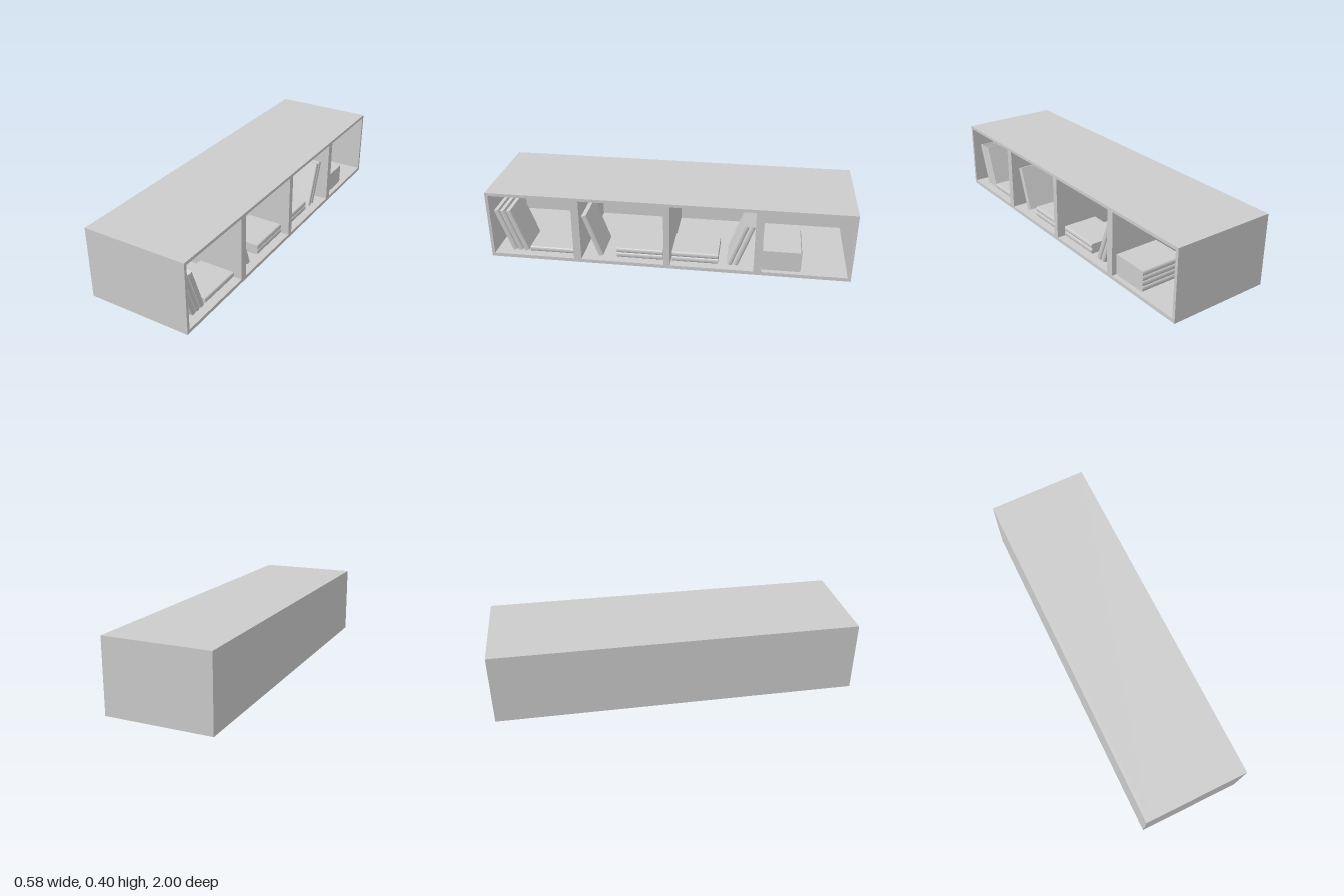
import * as THREE from 'three';

const material = new THREE.MeshStandardMaterial({ color: 0xcccccc });
const WIDTH = 0.577, HEIGHT = 0.397, FLOOR = 0.02, BACK = 0.016;
const BOOK = { depth: 0.21, thick: 0.0293, length: 0.26, bulge: 0.008 };

// Closed rectangle from two corners
function rect(path, x0, y0, x1, y1) {
  path.moveTo(x0, y0);
  path.lineTo(x1, y0);
  path.lineTo(x1, y1);
  path.lineTo(x0, y1);
  path.closePath();
  return path;
}

// Book lying flat: rounded spine towards +x, length along z, centred
function bookGeometry() {
  const { depth, thick, length, bulge } = BOOK;
  const d = depth / 2, t = thick / 2;
  const s = new THREE.Shape();
  s.moveTo(-d, -t);
  s.lineTo(d - bulge, -t);
  s.absellipse(d - bulge, 0, bulge, t, -Math.PI / 2, Math.PI / 2, false);
  s.lineTo(-d, t);
  s.closePath();
  const g = new THREE.ExtrudeGeometry(s, { depth: length, bevelEnabled: false, curveSegments: 6 });
  return g.translate(0, 0, -length / 2);
}

export function createModel() {
  const model = new THREE.Group();
  model.name = 'bookshelf';

  const add = (name, geometry, x = 0, y = 0, z = 0) => {
    const mesh = new THREE.Mesh(geometry, material);
    mesh.name = name;
    mesh.position.set(x, y, z);
    model.add(mesh);
    return mesh;
  };

  // Case with four compartments, open towards +x
  const face = rect(new THREE.Shape(), -1, 0, 1, HEIGHT);
  for (const [a, b] of [[-0.983, -0.523], [-0.48, -0.017], [0.017, 0.48], [0.523, 0.983]]) {
    face.holes.push(rect(new THREE.Path(), a, FLOOR, b, HEIGHT - FLOOR + 0.003));
  }
  const frame = new THREE.ExtrudeGeometry(face, { depth: WIDTH - BACK, bevelEnabled: false });
  frame.rotateY(Math.PI / 2);
  add('caseFrame', frame, -WIDTH / 2 + BACK);
  add('backPanel', new THREE.BoxGeometry(BACK, HEIGHT, 2), -WIDTH / 2 + BACK / 2, HEIGHT / 2, 0);

  const book = bookGeometry();
  const bookX = 0.245 - BOOK.depth / 2;

  // Flat stacks: centre z and number of books
  for (const [z, count] of [[0.657, 1], [0.157, 2], [-0.153, 2]]) {
    for (let i = 0; i < count; i++) {
      add('flatBook', book, bookX, FLOOR + 0.002 + BOOK.thick * (i + 0.5), z);
    }
  }

  // Tall stack turned with its spines towards -z
  for (let i = 0; i < 4; i++) {
    const b = add('stackedBook', book, 0.132, FLOOR + 0.001 + BOOK.thick * (i + 0.5), -0.63);
    b.rotation.y = Math.PI / 2;
  }

  // Leaning books: centre z and direction of lean
  const tilt = 0.345;
  const leanY = FLOOR + (BOOK.length * Math.cos(tilt) + BOOK.thick * Math.sin(tilt)) / 2;
  for (const [z, side] of [[0.922, 1], [0.888, 1], [0.853, 1], [0.422, 1], [-0.388, -1], [-0.422, -1]]) {
    const b = add('leaningBook', book, bookX, leanY, z);
    b.rotation.x = -Math.PI / 2 + side * tilt;
  }

  return model;
}
